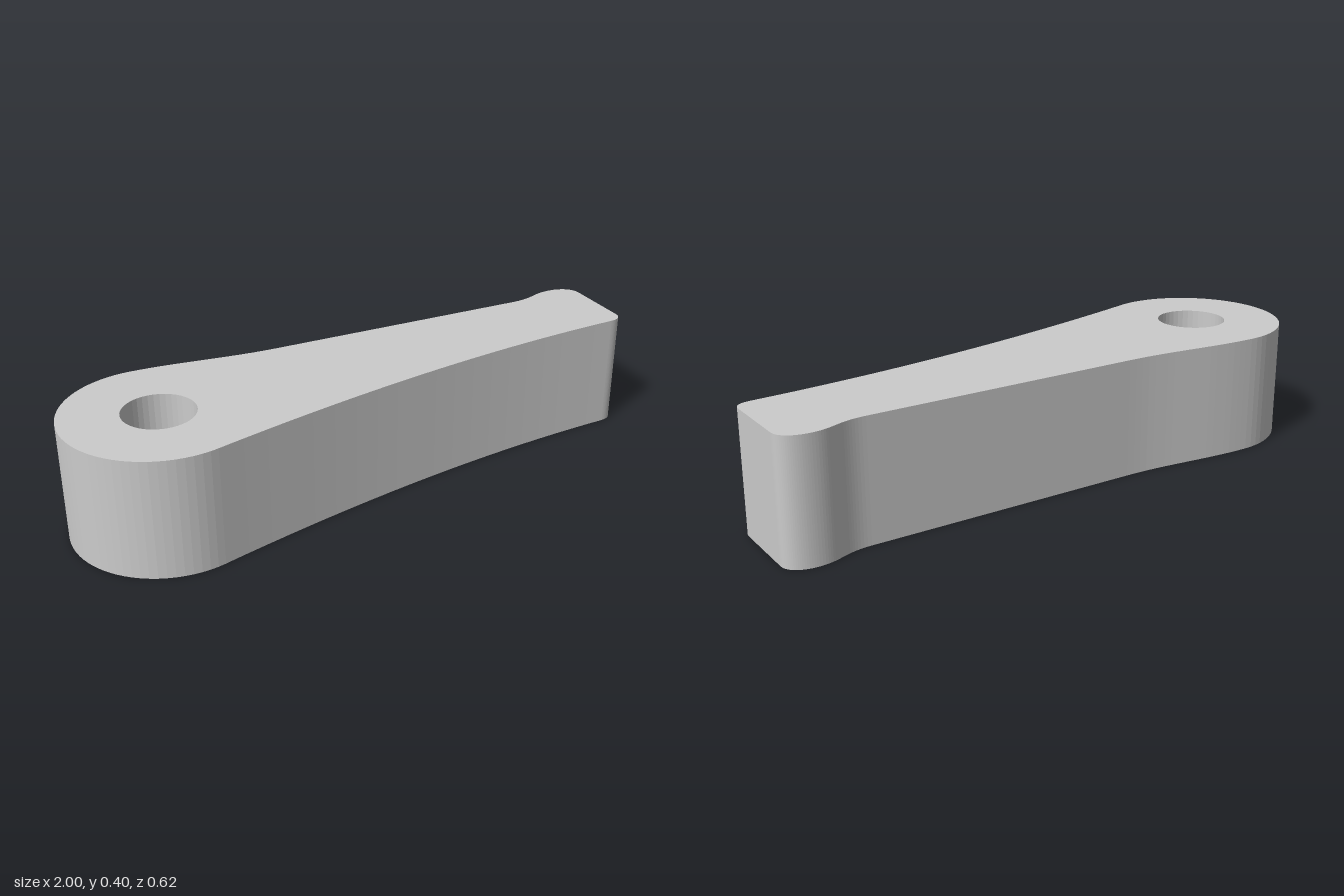
import * as THREE from 'three';

const HEIGHT = 0.395;
const PIVOT = { x: -0.692, radius: 0.308, hole: 0.117 };

export function createModel() {
  const group = new THREE.Group();
  group.name = 'leverArm';

  // Outline seen from above; shape y points to the back (-z)
  const outline = new THREE.Shape();
  outline.moveTo(PIVOT.x, PIVOT.radius);
  // back edge: blend from the round end into the straight run
  outline.bezierCurveTo(-0.52, 0.308, -0.38, 0.27, -0.2, 0.27);
  outline.lineTo(0.73, 0.27);
  // small raised lip at the tip
  outline.bezierCurveTo(0.82, 0.27, 0.84, 0.308, 0.91, 0.308);
  outline.bezierCurveTo(0.96, 0.308, 1, 0.285, 1, 0.245);
  // tip face and rounded front corner
  outline.lineTo(1, 0.015);
  outline.bezierCurveTo(1, -0.01, 0.985, -0.027, 0.95, -0.03);
  // bowed front edge
  outline.quadraticCurveTo(0.235, -0.06, -0.608, -0.296);
  // round pivot end, clockwise back to the start
  outline.absarc(PIVOT.x, 0, PIVOT.radius, Math.atan2(-0.296, -0.608 - PIVOT.x), Math.PI / 2, true);

  // Pivot hole
  const hole = new THREE.Path();
  hole.absarc(PIVOT.x, 0, PIVOT.hole, 0, Math.PI * 2, false);
  outline.holes.push(hole);

  const geometry = new THREE.ExtrudeGeometry(outline, {
    depth: HEIGHT, bevelEnabled: false, curveSegments: 20,
  });
  geometry.rotateX(-Math.PI / 2);

  const arm = new THREE.Mesh(geometry, new THREE.MeshStandardMaterial({ color: 0xcccccc }));
  arm.name = 'arm';
  group.add(arm);
  return group;
}
